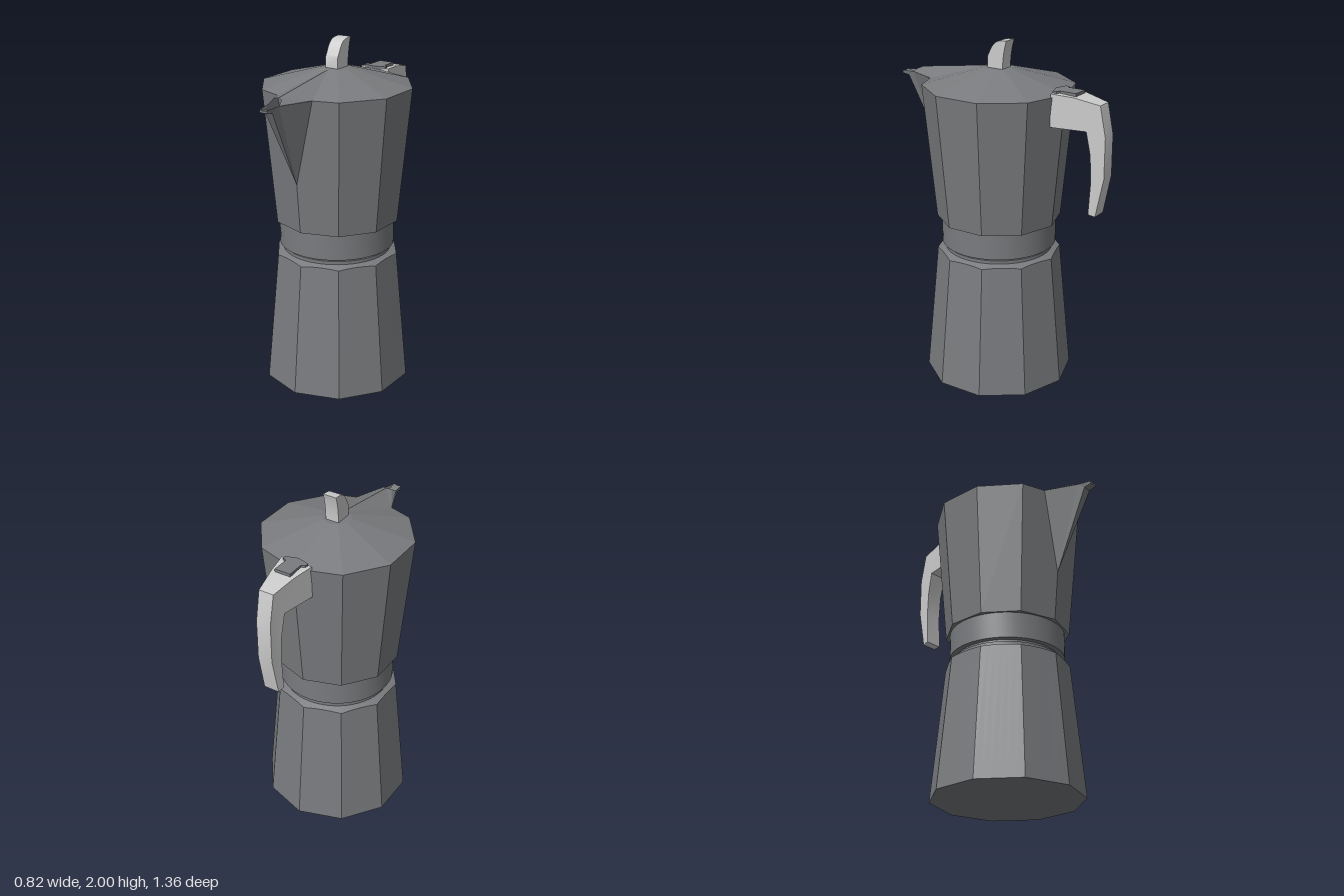
import * as THREE from 'three';
import { toCreasedNormals } from 'three/addons/utils/BufferGeometryUtils.js';

const SIDES = 10;
const AXIS_Z = 0.02; // the pot axis sits slightly forward of the centre
const metalColor = 0x797b7e;
const metalFlat = new THREE.MeshStandardMaterial({ color: metalColor, flatShading: true });
const metalSmooth = new THREE.MeshStandardMaterial({ color: metalColor });
const metalSheet = new THREE.MeshStandardMaterial({ color: metalColor, flatShading: true, side: THREE.DoubleSide });
const grip = new THREE.MeshStandardMaterial({ color: 0xcccccc });

function add(group, name, geometry, material) {
  const mesh = new THREE.Mesh(geometry, material);
  mesh.name = name;
  group.add(mesh);
  return mesh;
}

// Ten-sided frustum with a corner on the front
function facetedBody(rTop, rBottom, y0, y1) {
  return new THREE.CylinderGeometry(rTop, rBottom, y1 - y0, SIDES).translate(0, (y0 + y1) / 2, AXIS_Z);
}

// Round part turned about the pot axis
function turned(points) {
  const profile = points.map(([r, y]) => new THREE.Vector2(r, y));
  return toCreasedNormals(new THREE.LatheGeometry(profile, 60).translate(0, 0, AXIS_Z), 0.5);
}

// Side outline in (z, y), extruded across x
function sideExtrude(shape, width) {
  return new THREE.ExtrudeGeometry(shape, { depth: width, bevelEnabled: false, curveSegments: 10 })
    .translate(0, 0, -width / 2)
    .rotateY(-Math.PI / 2);
}

// Sheet of triangles on the +x side plus its mirror image
function mirroredSheet(triangles) {
  const pos = [];
  for (const [a, b, c] of triangles) {
    pos.push(...a, ...b, ...c);
    for (const [x, y, z] of [a, c, b]) pos.push(-x, y, z);
  }
  const geometry = new THREE.BufferGeometry();
  geometry.setAttribute('position', new THREE.Float32BufferAttribute(pos, 3));
  geometry.computeVertexNormals();
  return geometry;
}

// Boiler: decagon whose upper rim is cut by a shallow cone, giving a scalloped edge
function boilerGeometry() {
  const per = 6, n = SIDES * per, neck = 0.3, yTop = 0.79;
  const decagon = (a, r) => {
    const step = (Math.PI * 2) / SIDES;
    return (r * Math.cos(step / 2)) / Math.cos((a % step) - step / 2);
  };
  const pos = [], index = [];
  for (let i = 0; i <= n; i++) {
    const a = ((i % n) / n) * Math.PI * 2 + 1e-6;
    const rim = decagon(a, 0.357);
    const rings = [[0, 0], [decagon(a, 0.43), 0], [rim, yTop - (rim - neck) * 0.4], [neck, yTop]];
    for (const [r, y] of rings) pos.push(Math.sin(a) * r, y, Math.cos(a) * r + AXIS_Z);
    if (i === n) break;
    for (let k = 0; k < 3; k++) {
      const p = i * 4 + k, q = p + 4;
      index.push(p, q, q + 1, p, q + 1, p + 1);
    }
  }
  const geometry = new THREE.BufferGeometry();
  geometry.setAttribute('position', new THREE.Float32BufferAttribute(pos, 3));
  geometry.setIndex(index);
  geometry.computeVertexNormals();
  return geometry;
}

function makeSpout() {
  const spout = new THREE.Group();
  spout.name = 'spout';
  const root = [0, 1.25, 0.4];
  const corner = [0.115, 1.745, 0.411];
  const edge = [0.036, 1.745, 0.595];
  const throat = [0.024, 1.715, 0.635];
  const throatMid = [0, 1.71, 0.635];
  // V-shaped walls with a narrow front face
  add(spout, 'spoutWalls', mirroredSheet([
    [root, edge, corner], [root, throat, edge], [root, throatMid, throat],
  ]), metalSheet);
  // Pouring lip with a channel floor
  const lipTop = [0.024, 1.738, 0.68], lipLow = [0.024, 1.722, 0.68];
  const lipTopMid = [0, 1.732, 0.68], lipLowMid = [0, 1.722, 0.68];
  const inner = [0.024, 1.7, 0.54], innerMid = [0, 1.695, 0.54];
  add(spout, 'pouringLip', mirroredSheet([
    [innerMid, lipTopMid, lipTop], [innerMid, lipTop, inner],
    [throatMid, lipLow, lipLowMid], [throatMid, throat, lipLow],
    [throat, lipTop, lipLow], [throat, edge, lipTop],
    [lipLowMid, lipLow, lipTop], [lipLowMid, lipTop, lipTopMid],
  ]), metalSheet);
  return spout;
}

function makeLid() {
  const lid = new THREE.Group();
  lid.name = 'lid';
  add(lid, 'lidCone', facetedBody(0.08, 0.43, 1.745, 1.84), metalFlat);
  // Ridged roof covering the spout
  const apex = [0, 1.84, 0.1], ridge = [0, 1.775, 0.545], bend = [0.026, 1.768, 0.56];
  const edge = [0.038, 1.746, 0.595], corner = [0.115, 1.746, 0.411];
  add(lid, 'spoutCover', mirroredSheet([
    [apex, ridge, corner], [ridge, bend, corner], [bend, edge, corner],
  ]), metalSheet);
  // Knob leaning back
  const s = new THREE.Shape();
  s.moveTo(0.07, 1.83);
  s.lineTo(0.07, 1.9);
  s.bezierCurveTo(0.045, 1.95, 0.03, 1.995, -0.02, 1.997);
  s.lineTo(-0.055, 2.0);
  s.quadraticCurveTo(-0.03, 1.92, -0.03, 1.83);
  s.closePath();
  add(lid, 'knob', toCreasedNormals(sideExtrude(s, 0.08), 0.6), grip);
  return lid;
}

function makeHandle() {
  const outline = [
    [-0.37, 1.765], [-0.5, 1.757], [-0.645, 1.73], [-0.68, 1.56], [-0.68, 1.33], [-0.635, 1.105],
    [-0.595, 1.113], [-0.605, 1.3], [-0.598, 1.45], [-0.572, 1.58], [-0.37, 1.58],
  ];
  const shape = new THREE.Shape(outline.map(([z, y]) => new THREE.Vector2(z, y)));
  const geometry = sideExtrude(shape, 2);
  // Narrow the handle away from the pot
  const p = geometry.attributes.position;
  for (let i = 0; i < p.count; i++) {
    const t = THREE.MathUtils.clamp((-0.37 - p.getZ(i)) / 0.28, 0, 1);
    p.setX(i, p.getX(i) * THREE.MathUtils.lerp(0.093, 0.043, t));
  }
  return toCreasedNormals(geometry, 0.3);
}

function makeHinge() {
  const half = [[0.047, -0.5], [0.047, -0.4], [0.07, -0.392], [0.07, -0.37]];
  const points = [...half, [0, -0.348], ...half.map(([x, z]) => [-x, z]).reverse()];
  const shape = new THREE.Shape(points.map(([x, z]) => new THREE.Vector2(x, -z)));
  return new THREE.ExtrudeGeometry(shape, { depth: 0.017, bevelEnabled: false })
    .rotateX(-Math.PI / 2)
    .translate(0, 1.758, 0);
}

export function createModel() {
  const pot = new THREE.Group();
  pot.name = 'stovetopCoffeePot';
  add(pot, 'boiler', boilerGeometry(), metalFlat);
  add(pot, 'neck', turned([[0.31, 0.78], [0.31, 0.805], [0.298, 0.81], [0.298, 0.825]]), metalSmooth);
  add(pot, 'collar', turned([[0, 0.82], [0.33, 0.82], [0.33, 0.975]]), metalSmooth);
  add(pot, 'jug', facetedBody(0.43, 0.357, 0.97, 1.745), metalFlat);
  pot.add(makeSpout(), makeLid());
  add(pot, 'handle', makeHandle(), grip);
  add(pot, 'hinge', makeHinge(), metalFlat);
  return pot;
}
